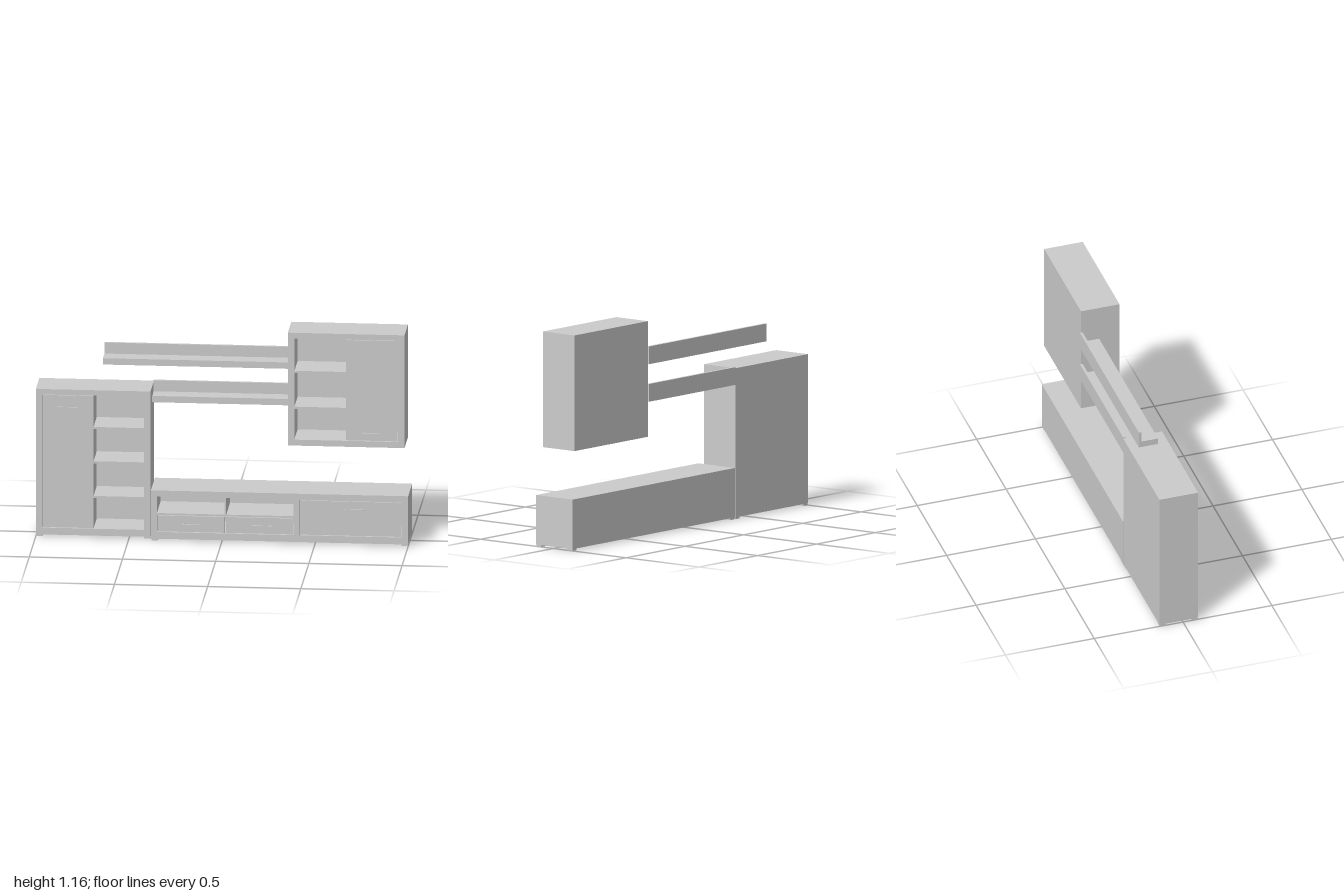
import * as THREE from 'three';

const grey = new THREE.MeshStandardMaterial({ color: 0xcccccc });

// Box given by its limits on each axis
function box(parent, name, [x0, x1], [y0, y1], [z0, z1]) {
  const mesh = new THREE.Mesh(new THREE.BoxGeometry(x1 - x0, y1 - y0, z1 - z0), grey);
  mesh.position.set((x0 + x1) / 2, (y0 + y1) / 2, (z0 + z1) / 2);
  mesh.name = name;
  parent.add(mesh);
  return mesh;
}

function rect(PathType, [x0, x1], [y0, y1]) {
  return new PathType([[x0, y0], [x1, y0], [x1, y1], [x0, y1]].map(p => new THREE.Vector2(...p)));
}

// Open-fronted case: extruded frame with openings, closed by a back panel
function carcass(parent, x, y, z, openings) {
  const back = 0.012;
  const shape = rect(THREE.Shape, x, y);
  openings.forEach(([ox, oy]) => shape.holes.push(rect(THREE.Path, ox, oy)));
  const geo = new THREE.ExtrudeGeometry(shape, { depth: z[1] - z[0] - back, bevelEnabled: false });
  geo.translate(0, 0, z[0] + back);
  const mesh = new THREE.Mesh(geo, grey);
  mesh.name = 'carcass';
  parent.add(mesh);
  box(parent, 'backPanel', x, y, [z[0], z[0] + back]);
}

// Front panel set into an opening with a narrow shadow gap
function front(parent, name, [x0, x1], [y0, y1], z) {
  const g = 0.003;
  box(parent, name, [x0 + g, x1 - g], [y0 + g, y1 - g], [z - 0.018, z - 0.002]);
}

// Thin bar handle on two short posts
function handle(parent, x, y, z) {
  const group = new THREE.Group();
  group.name = 'handle';
  box(group, 'handleBar', [x - 0.055, x + 0.055], [y - 0.003, y + 0.003], [z + 0.008, z + 0.015]);
  for (const s of [-1, 1]) {
    const px = x + s * 0.042;
    box(group, 'handlePost', [px - 0.004, px + 0.004], [y - 0.002, y + 0.002], [z - 0.003, z + 0.01]);
  }
  parent.add(group);
}

// Low square feet at the four corners
function feet(parent, [x0, x1], [z0, z1]) {
  const s = 0.034;
  for (const x of [x0 + 0.002, x1 - s - 0.002])
    for (const z of [z0 + 0.002, z1 - s - 0.002]) box(parent, 'foot', [x, x + s], [0, 0.012], [z, z + s]);
}

// Wall shelf: thick board with an upright strip along the back
function wallShelf(name, x, y) {
  const group = new THREE.Group();
  group.name = name;
  box(group, 'shelfBoard', x, [y, y + 0.035], [-0.133, -0.025]);
  box(group, 'shelfBack', x, [y + 0.035, y + 0.096], [-0.133, -0.118]);
  return group;
}

function named(name) {
  const g = new THREE.Group();
  g.name = name;
  return g;
}

export function createModel() {
  const model = named('wallUnit');

  // Tall floor cabinet: door on the outside, open shelves on the inside
  const tall = named('tallCabinet');
  const tz = [-0.133, 0.085];
  carcass(tall, [-1, -0.385], [0.01, 0.817], tz, [[[-0.965, -0.42], [0.048, 0.787]]]);
  box(tall, 'divider', [-0.703, -0.691], [0.048, 0.787], [-0.125, 0.066]);
  front(tall, 'door', [-0.965, -0.688], [0.048, 0.787], tz[1]);
  for (const y of [0.222, 0.415, 0.605])
    box(tall, 'innerShelf', [-0.692, -0.42], [y - 0.006, y + 0.006], [-0.125, 0.078]);
  handle(tall, -0.83, 0.72, tz[1] - 0.002);
  feet(tall, [-1, -0.385], tz);
  model.add(tall);

  // Low media bench: two cubbies over two drawers, and a flap door
  const bench = named('mediaBench');
  const bz = [-0.133, 0.118];
  carcass(bench, [-0.38, 1], [0.01, 0.278], bz, [
    [[-0.348, 0.385], [0.048, 0.246]],
    [[0.418, 0.964], [0.048, 0.243]],
  ]);
  box(bench, 'cubbyFloor', [-0.348, 0.385], [0.142, 0.152], [-0.125, 0.116]);
  box(bench, 'cubbyDivider', [0.014, 0.024], [0.152, 0.246], [-0.125, 0.116]);
  front(bench, 'drawer', [-0.348, 0.019], [0.048, 0.142], bz[1]);
  front(bench, 'drawer', [0.019, 0.385], [0.048, 0.142], bz[1]);
  front(bench, 'flapDoor', [0.418, 0.964], [0.048, 0.243], bz[1]);
  handle(bench, -0.163, 0.095, bz[1]);
  handle(bench, 0.215, 0.095, bz[1]);
  handle(bench, 0.705, 0.197, bz[1]);
  feet(bench, [-0.38, 1], bz);
  model.add(bench);

  // Hanging cabinet: open shelves on the inside, door on the outside
  const hanging = named('hangingCabinet');
  const hz = [-0.127, 0.09];
  carcass(hanging, [0.352, 0.978], [0.537, 1.163], hz, [[[0.387, 0.943], [0.57, 1.132]]]);
  box(hanging, 'divider', [0.664, 0.676], [0.57, 1.132], [-0.12, 0.071]);
  front(hanging, 'door', [0.661, 0.943], [0.57, 1.132], hz[1]);
  for (const y of [0.745, 0.944])
    box(hanging, 'innerShelf', [0.387, 0.665], [y - 0.006, y + 0.006], [-0.12, 0.083]);
  // This handle stands further out than the others
  handle(hanging, 0.803, 0.624, 0.12);
  model.add(hanging);

  // Two wall shelves bridging the cabinets
  model.add(wallShelf('upperWallShelf', [-0.65, 0.352], 0.93));
  model.add(wallShelf('lowerWallShelf', [-0.385, 0.352], 0.727));

  return model;
}
